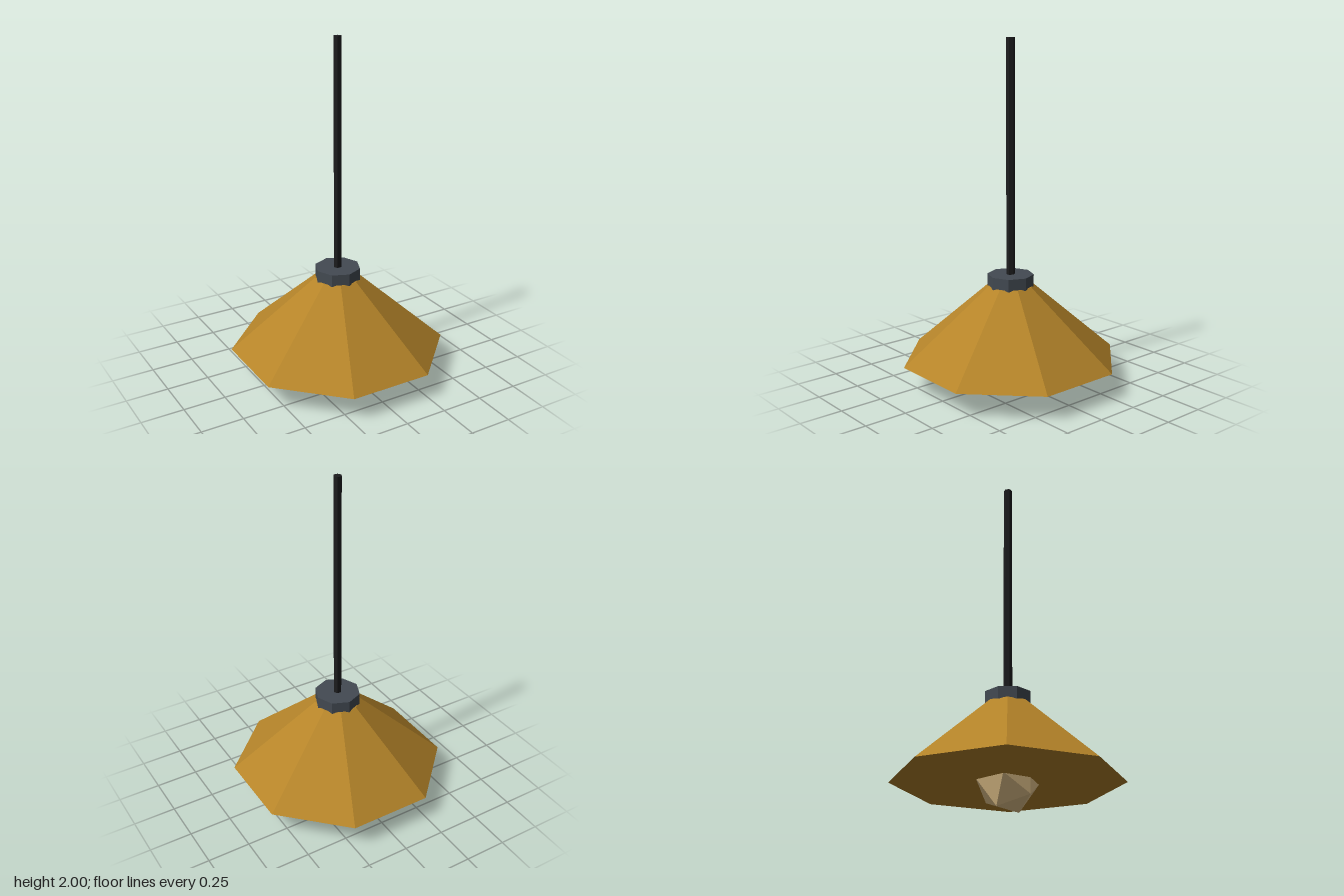
import * as THREE from 'three';

const paint = (name, color) => {
  const m = new THREE.MeshStandardMaterial({ color, flatShading: true });
  m.name = name;
  return m;
};

export function createModel() {
  const lamp = new THREE.Group();
  lamp.name = 'pendantLamp';

  const brass = paint('brass', 0xb58429);
  const slate = paint('slate', 0x434a52);
  const black = paint('black', 0x1c1c1e);
  const glow = paint('warmGlass', 0xffdb9c);

  const add = (name, geometry, material, y, turn = 0) => {
    const mesh = new THREE.Mesh(geometry, material);
    mesh.name = name;
    mesh.position.y = y;
    mesh.rotation.y = turn;
    lamp.add(mesh);
  };

  // closed solid between two heights, narrowing from one radius to the other
  const prism = (name, rTop, rBottom, y0, y1, sides, material, turn) =>
    add(name, new THREE.CylinderGeometry(rTop, rBottom, y1 - y0, sides), material, (y0 + y1) / 2, turn);

  // rod, hexagonal with flats facing front and back
  prism('rod', 0.025, 0.025, 0.62, 2, 6, black, Math.PI / 6);

  // collar with corners on the axes
  prism('collar', 0.135, 0.135, 0.577, 0.65, 8, slate, 0);

  // octagonal shade with flats on the axes and a closed underside
  prism('shade', 0.135, 0.64, 0.147, 0.585, 8, brass, Math.PI / 8);

  // faceted bulb resting on one edge, half sunk into the shade
  add('bulb', new THREE.IcosahedronGeometry(0.18, 0), glow, 0.153, -1.07);

  return lamp;
}
